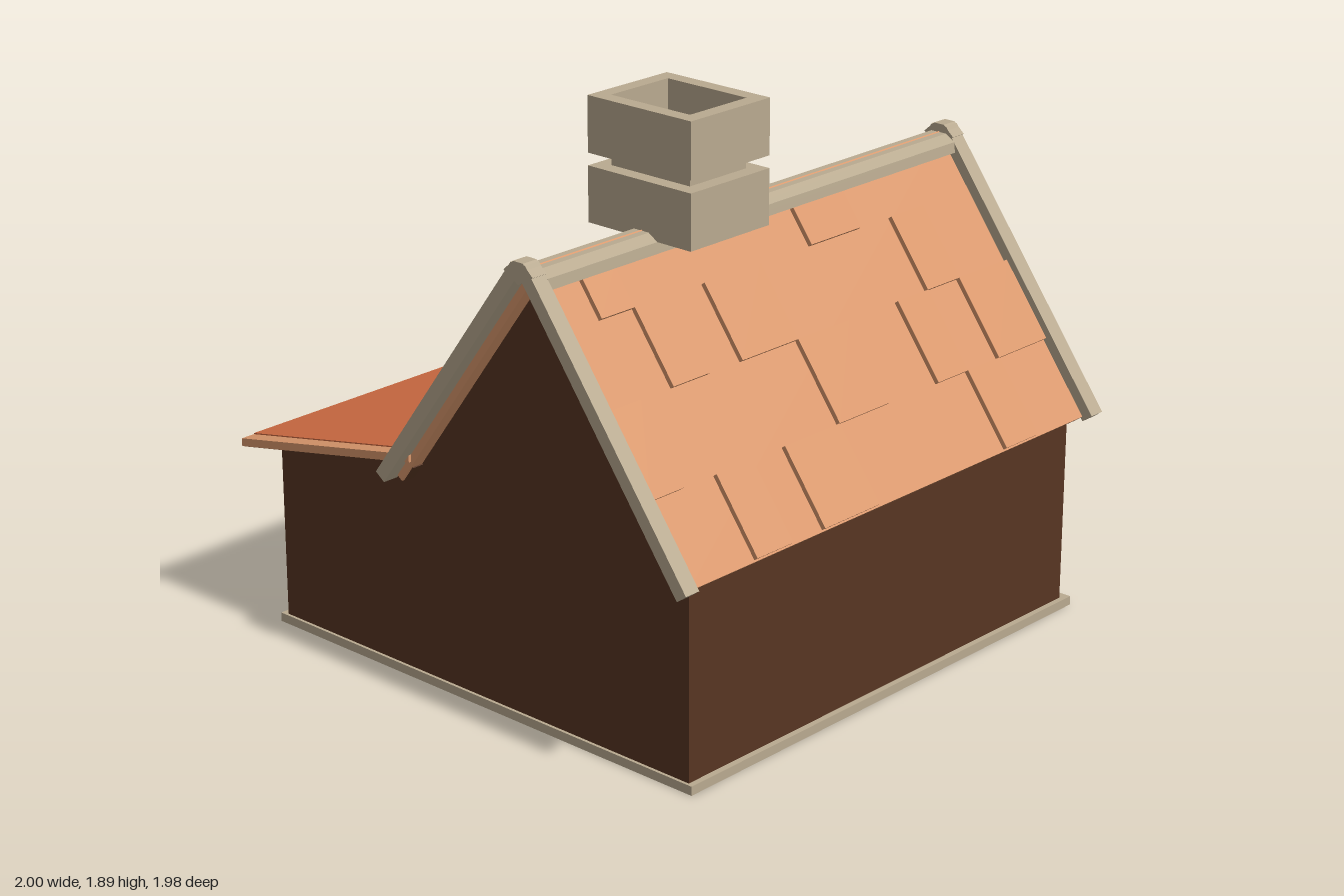
import * as THREE from 'three';

const mat = (name, color, side = THREE.FrontSide) => {
  const m = new THREE.MeshStandardMaterial({ color, side });
  m.name = name;
  return m;
};

export function createModel() {
  const house = new THREE.Group();
  house.name = 'house';
  const tan = mat('tan trim', 0xb9aa90);
  const brown = mat('dark brown timber', 0x573522);
  const orange = mat('orange boards', 0xce6b42);
  const tileMat = mat('light orange tiles', 0xda986c);
  const glass = mat('dark glass', 0x43393a);

  const add = (name, geo, m, parent = house) => {
    const mesh = new THREE.Mesh(geo, m);
    mesh.name = name;
    parent.add(mesh);
    return mesh;
  };
  // box from its limits
  const box = (name, m, x0, x1, y0, y1, z0, z1, parent) =>
    add(name, new THREE.BoxGeometry(x1 - x0, y1 - y0, z1 - z0)
      .translate((x0 + x1) / 2, (y0 + y1) / 2, (z0 + z1) / 2), m, parent);
  // side outline of [z, y] points, extruded from x0 to x1
  const prism = (name, m, pts, x0, x1, parent) => {
    const shape = new THREE.Shape(pts.map(p => new THREE.Vector2(p[0], p[1])));
    const geo = new THREE.ExtrudeGeometry(shape, { depth: x1 - x0, bevelEnabled: false });
    return add(name, geo.rotateY(-Math.PI / 2).translate(x1, 0, 0), m, parent);
  };
  const rect = (P, x0, y0, x1, y1) => {
    const p = new P();
    p.moveTo(x0, y0); p.lineTo(x1, y0); p.lineTo(x1, y1); p.lineTo(x0, y1);
    p.closePath();
    return p;
  };
  // frame with openings [x0, y0, x1, y1] and glass behind, centred on its width
  const glazed = (name, w, h, depth, panes) => {
    const g = new THREE.Group();
    g.name = name;
    const shape = rect(THREE.Shape, -w / 2, 0, w / 2, h);
    panes.forEach(p => shape.holes.push(rect(THREE.Path, ...p)));
    add('frame', new THREE.ExtrudeGeometry(shape, { depth, bevelEnabled: false }), tan, g);
    box('glass', glass, -w / 2 + 0.01, w / 2 - 0.01, 0.01, h - 0.01, 0.004, 0.012, g);
    house.add(g);
    return g;
  };
  const fourPanes = (w, h, border, bar) => {
    const panes = [], pw = w / 2 - border, ph = h / 2 - border;
    for (const x of [border - w / 2, bar / 2])
      for (const y of [border, h / 2 + bar / 2])
        panes.push([x, y, x + pw - bar / 2, y + ph - bar / 2]);
    return panes;
  };

  // floor slabs
  box('mainFloor', tan, -0.91, 0.95, 0, 0.03, -0.26, 0.93);
  box('annexFloor', tan, -0.91, 0.85, 0, 0.03, -0.89, -0.26);

  // main body with both gables, and the lean-to annex
  prism('mainBody', brown,
    [[0.91, 0.03], [0.91, 0.70], [0.33, 1.48], [-0.24, 0.70], [-0.24, 0.03]], -0.9, 0.917);
  prism('annexBody', brown,
    [[-0.24, 0.03], [-0.24, 0.755], [-0.865, 0.63], [-0.865, 0.03]], -0.9, 0.815);
  prism('gableFace', brown, [[0.89, 0.72], [0.33, 1.47], [-0.23, 0.72]], 0.917, 0.93);

  // vertical boards on the end walls and the back wall
  const roofUnder = z => 0.755 + (z + 0.24) * 0.2;
  for (let i = 0; i < 12; i++) {
    const z = 0.895 - i * 0.095;
    box('mainBoard', orange, 0.917, 0.932, 0.03, 0.715, z - 0.066, z);
  }
  for (let i = 0; i < 7; i++) {
    const z1 = -0.25 - i * 0.089, z0 = z1 - 0.064;
    prism('annexBoard', orange,
      [[z1, 0.03], [z1, roofUnder(z1)], [z0, roofUnder(z0)], [z0, 0.03]], 0.815, 0.828);
  }
  for (let i = 0; i < 18; i++) {
    const x = 0.815 - i * 0.0955;
    box('backBoard', orange, x - 0.068, x, 0.03, 0.63, -0.876, -0.865);
  }

  // steep roof: point at distance d from the ridge, lifted off the slope by t
  const pitch = 1.35, len = Math.hypot(1, pitch);
  const at = (side, d, t) =>
    [0.33 + side * (d + t * pitch / len), 1.515 - pitch * d + t / len];
  const slopePart = (name, m, side, d0, d1, t0, t1, x0, x1) =>
    prism(name, m, [at(side, d0, t0), at(side, d1, t0), at(side, d1, t1), at(side, d0, t1)], x0, x1);
  for (const side of [1, -1]) {
    const end = side > 0 ? 0.622 : 0.6;
    slopePart('roofSlope', tileMat, side, 0, end, -0.032, 0, -0.95, 0.95);
    slopePart('eaveUnderside', brown, side, 0.56, end, -0.036, -0.032, -0.94, 0.94);
    for (const [x0, x1] of [[-1, -0.943], [0.943, 1]])
      slopePart('bargeBoard', tan, side, 0.0, end + 0.008, -0.008, 0.036, x0, x1);
  }
  prism('ridgeCap', tan,
    [[0.4, 1.455], [0.395, 1.49], [0.36, 1.512], [0.3, 1.512], [0.265, 1.49], [0.26, 1.455], [0.33, 1.49]],
    -0.945, 0.945);
  for (const [x0, x1] of [[-1, -0.943], [0.943, 1]])
    prism('ridgeEnd', tan, [[0.39, 1.505], [0.35, 1.54], [0.31, 1.54], [0.27, 1.505], [0.33, 1.47]], x0, x1);

  // raised front tiles: left, right, lower height, upper height
  const frontTiles = [
    [-0.8, -0.66, 1.35, 1.46], [-0.66, -0.5, 1.14, 1.35], [-0.355, -0.1, 1.14, 1.35],
    [0.14, 0.38, 1.35, 1.46], [0.53, 0.69, 1.14, 1.35], [-0.943, -0.8, 0.91, 1.14],
    [-0.1, 0.14, 0.91, 1.14], [0.38, 0.53, 0.91, 1.14], [0.69, 0.94, 0.91, 1.14],
    [-0.66, -0.5, 0.69, 0.91], [-0.355, -0.1, 0.69, 0.91], [0.53, 0.69, 0.69, 0.91]];
  for (const [x0, x1, y0, y1] of frontTiles)
    slopePart('frontTile', tileMat, 1, (1.525 - y1) / pitch, (1.525 - y0) / pitch, -0.005, 0.016, x0, x1);
  // raised back tiles: left, right, lower z, upper z
  const backTiles = [
    [-0.943, -0.63, -0.17, -0.075], [-0.41, 0.03, -0.26, -0.08], [0.34, 0.62, -0.18, -0.08],
    [0.75, 0.9, -0.24, -0.16], [-0.63, -0.41, -0.08, 0.02], [-0.41, 0.03, 0, 0.14],
    [-0.81, -0.63, 0.03, 0.15], [-0.63, -0.48, 0.14, 0.23], [0.18, 0.34, 0.02, 0.15],
    [0.34, 0.62, 0.02, 0.14], [0.75, 0.94, -0.09, 0.02], [0.03, 0.18, 0.0, 0.14],
    [0.62, 0.75, 0.11, 0.2], [0.34, 0.62, 0.2, 0.26], [0.75, 0.9, 0.2, 0.26]];
  for (const [x0, x1, z0, z1] of backTiles)
    slopePart('backTile', tileMat, -1, 0.32 - z1, 0.32 - z0, -0.005, 0.016, x0, x1);

  // shallow annex roof: tile-coloured edge, orange sheet above, timber below
  const sheet = (name, m, y0, y1, z0, z1, x0, x1) => {
    const y = z => 0.785 + (z + 0.22) * 0.2;
    prism(name, m, [[z1, y(z1) + y0], [z1, y(z1) + y1], [z0, y(z0) + y1], [z0, y(z0) + y0]], x0, x1);
  };
  sheet('annexRoof', tileMat, -0.027, 0, -0.99, -0.2, -0.96, 0.87);
  sheet('annexRoofSheet', orange, 0, 0.004, -0.988, -0.2, -0.91, 0.83);
  sheet('annexRoofUnderside', brown, -0.031, -0.027, -0.98, -0.2, -0.95, 0.86);

  // chimney: two blocks and a neck with an open flue
  const block = (name, y0, y1, inset, open) => {
    const s = rect(THREE.Shape, -0.48 + inset, -0.53 + inset, -0.13 - inset, -0.11 - inset);
    if (open) s.holes.push(rect(THREE.Path, -0.43, -0.48, -0.18, -0.16));
    add(name, new THREE.ExtrudeGeometry(s, { depth: y1 - y0, bevelEnabled: false })
      .rotateX(-Math.PI / 2).translate(0, y0, 0), tan);
  };
  block('chimneyBase', 1.49, 1.67, 0, false);
  block('chimneyNeck', 1.67, 1.71, 0.05, false);
  block('chimneyTop', 1.71, 1.89, 0, true);

  // windows: one in the gable, a small one by the doors, two at the back
  const place = (g, x, y, z, turn) => {
    g.position.set(x, y, z);
    g.rotation.y = turn;
  };
  place(glazed('gableWindow', 0.245, 0.245, 0.03, fourPanes(0.245, 0.245, 0.028, 0.025)),
    0.928, 0.955, 0.35, Math.PI / 2);
  place(glazed('smallWindow', 0.14, 0.16, 0.026, fourPanes(0.14, 0.16, 0.022, 0.014)),
    0.928, 0.39, 0.745, Math.PI / 2);
  for (const x of [0.37, -0.27])
    place(glazed('backWindow', 0.31, 0.32, 0.03, fourPanes(0.31, 0.32, 0.05, 0.03)),
      x, 0.152, -0.873, Math.PI);

  // pair of glazed doors
  const panes = [[-0.105, 0.02, 0.105, 0.235]];
  for (const x of [-0.105, 0.01])
    for (const y of [0.265, 0.395]) panes.push([x, y, x + 0.095, y + 0.105]);
  for (const z of [0.535, 0.235])
    place(glazed('door', 0.285, 0.535, 0.045, panes), 0.928, 0.02, z, Math.PI / 2);

  return house;
}
